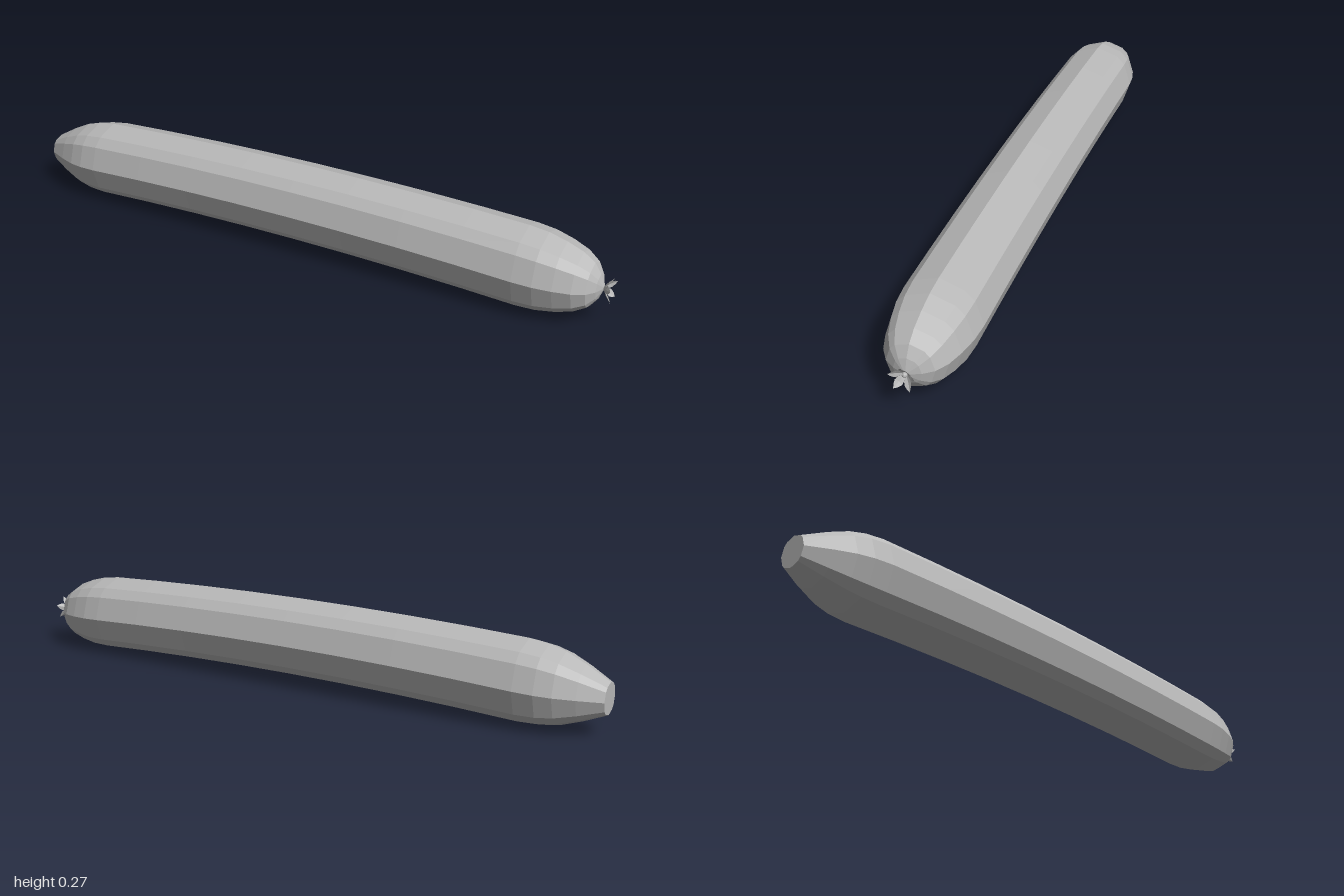
import * as THREE from 'three';

const GREY = new THREE.MeshStandardMaterial({ color: 0xb8b8b8, flatShading: true, side: THREE.DoubleSide });
GREY.name = 'plain grey';

// Height of the gently arched centre line at x
const centreY = (x) => 0.1475 - 0.033 * x * x;

// Twelve unevenly spaced corners give the ribbed cross-section
const ANGLES = [0, 36, 54, 90, 126, 144, 180, 216, 234, 270, 306, 324].map(THREE.MathUtils.degToRad);

// Rings along the body: [x, radius]
const RINGS = [
  [-1, 0.048], [-0.93, 0.083], [-0.87, 0.108], [-0.82, 0.12], [-0.76, 0.1255],
  [-0.57, 0.1255], [-0.38, 0.1255], [-0.19, 0.1255], [0, 0.1255], [0.19, 0.1255],
  [0.38, 0.1255], [0.57, 0.1255], [0.74, 0.1255], [0.8, 0.121], [0.855, 0.109],
  [0.905, 0.092], [0.94, 0.069], [0.96, 0.04],
];

function makeGeometry(positions, index) {
  const geometry = new THREE.BufferGeometry();
  geometry.setAttribute('position', new THREE.Float32BufferAttribute(positions, 3));
  geometry.setIndex(index);
  const flat = geometry.toNonIndexed();
  flat.computeVertexNormals();
  return flat;
}

// Skin the rings and close both ends with a fan
function bodyGeometry() {
  const positions = [];
  const index = [];
  const n = ANGLES.length;
  for (const [x, r] of RINGS) {
    for (const a of ANGLES) positions.push(x, centreY(x) + r * Math.sin(a), r * Math.cos(a));
  }
  const last = (RINGS.length - 1) * n;
  const stemCentre = RINGS.length * n;
  positions.push(-1, centreY(-1), 0, 0.975, centreY(0.975), 0);
  for (let j = 0; j < n; j++) {
    const k = (j + 1) % n;
    for (let i = 0; i < last; i += n) {
      index.push(i + j, i + n + k, i + n + j, i + j, i + k, i + n + k);
    }
    index.push(stemCentre, k, j, stemCentre + 1, last + j, last + k);
  }
  // Corners run from +z to +y, so reverse them to face outward
  for (let i = 0; i < index.length; i += 3) [index[i + 1], index[i + 2]] = [index[i + 2], index[i + 1]];
  return makeGeometry(positions, index);
}

// Pointed petal growing along +y and flaring toward +x, creased down the middle
function petalGeometry() {
  const rows = [[-0.028, 0.004, 0.003], [-0.018, 0.014, 0.010], [-0.012, 0.022, 0.012], [-0.005, 0.031, 0.007], [0, 0.039, 0]];
  const positions = [];
  const index = [];
  for (const [x, y, w] of rows) positions.push(x, y, -w, x - w * 0.35, y, 0, x, y, w);
  for (let i = 0; i < rows.length - 1; i++) {
    for (let j = 0; j < 2; j++) {
      const a = i * 3 + j;
      index.push(a, a + 3, a + 4, a, a + 4, a + 1);
    }
  }
  return makeGeometry(positions, index);
}

export function createModel() {
  const model = new THREE.Group();
  model.name = 'cucumber';

  const body = new THREE.Mesh(bodyGeometry(), GREY);
  body.name = 'body';
  model.add(body);

  // Five-petalled blossom on the rounded end
  const blossom = new THREE.Group();
  blossom.name = 'blossom';
  blossom.position.set(1, centreY(0.975), 0);
  const petal = petalGeometry();
  for (let i = 0; i < 5; i++) {
    const mesh = new THREE.Mesh(petal, GREY);
    mesh.name = 'petal';
    mesh.rotation.x = (i * Math.PI * 2) / 5;
    blossom.add(mesh);
  }
  const heart = new THREE.Mesh(new THREE.SphereGeometry(0.008, 8, 6), GREY);
  heart.name = 'blossomHeart';
  heart.position.x = -0.024;
  blossom.add(heart);
  model.add(blossom);

  return model;
}
